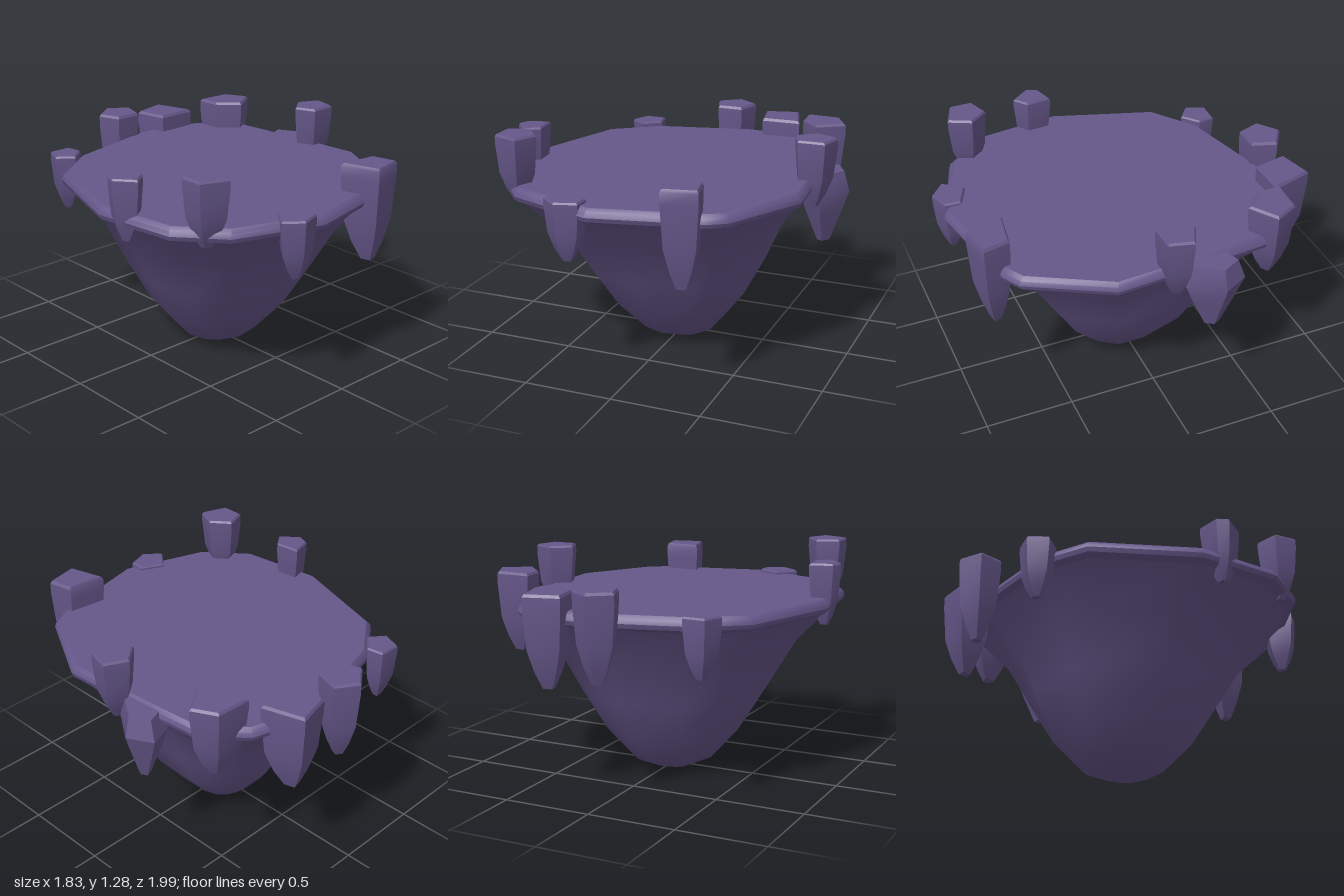
import * as THREE from 'three';
import { toCreasedNormals } from 'three/addons/utils/BufferGeometryUtils.js';

const rockMaterial = new THREE.MeshStandardMaterial({ color: 0x655689 });
rockMaterial.name = 'purple rock';

// Skins a stack of rings (bottom to top, equal point counts), closing both ends.
function loft(rings, crease) {
  const n = rings[0].length, pos = [];
  const tri = (...pts) => pts.forEach((p) => pos.push(...p));
  for (let j = 0; j < rings.length - 1; j++) {
    for (let i = 0; i < n; i++) {
      const k = (i + 1) % n, a = rings[j], b = rings[j + 1];
      tri(a[i], b[i], a[k]);
      tri(a[k], b[i], b[k]);
    }
  }
  const centre = (ring) => [0, 1, 2].map((c) => ring.reduce((s, p) => s + p[c], 0) / n);
  const low = rings[0], high = rings[rings.length - 1];
  for (let i = 0; i < n; i++) {
    const k = (i + 1) % n;
    tri(centre(low), low[i], low[k]);
    tri(centre(high), high[k], high[i]);
  }
  const geometry = new THREE.BufferGeometry();
  geometry.setAttribute('position', new THREE.Float32BufferAttribute(pos, 3));
  return toCreasedNormals(geometry, crease);
}

// Irregular outline of the island, as x, z
const outline = [
  [0.76, -0.24], [0.8, 0.34], [0.56, 0.78], [0.46, 0.84], [-0.14, 0.97],
  [-0.63, 0.8], [-0.83, 0.56], [-0.89, 0.08], [-0.7, -0.51], [-0.44, -0.7],
  [0.13, -0.84], [0.3, -0.83], [0.54, -0.76], [0.73, -0.55],
];

// Outline scaled to size s, blended towards a circle by round
function islandRing(y, s, round) {
  return outline.map(([x, z]) => {
    const r = Math.hypot(x, z), f = s * (1 + (0.87 / r - 1) * round);
    return [x * f, y, z * f];
  });
}

// Crystal profile: share of the height, share of the full width
const crystalProfile = [[0, 0.25], [0.18, 0.57], [0.42, 0.86], [0.85, 1], [0.97, 1], [1, 0.91]];
const leaningProfile = [[0, 0.25], [0.4, 0.68], [0.72, 1], [1, 0.75]];

// Each crystal: bottom y, top y, footprint corners as x, z
const crystals = [
  [0.66, 1.155, [[0, -1], [0.12, -0.92], [0.075, -0.78], [-0.075, -0.78], [-0.12, -0.91]]],
  [0.6, 1.115, [[0.19, -0.92], [0.39, -0.97], [0.46, -0.735], [0.23, -0.73]]],
  [0.735, 1.175, [[0.52, -0.71], [0.72, -0.7], [0.79, -0.565], [0.64, -0.465], [0.53, -0.58]]],
  [0.855, 1.235, [[0.76, -0.1], [0.885, -0.04], [0.85, 0.095], [0.7, 0.1], [0.655, -0.015]]],
  [0.62, 1.17, [[0.21, 0.75], [0.43, 0.78], [0.46, 0.925], [0.27, 0.965]]],
  [0.7, 1.035, [[-0.31, 0.8], [-0.18, 0.86], [-0.185, 0.95], [-0.305, 0.99], [-0.4, 0.91]]],
  [0.91, 1.28, [[-0.65, 0.555], [-0.565, 0.66], [-0.625, 0.785], [-0.775, 0.73], [-0.775, 0.6]]],
  [0.855, 1.205, [[-0.765, 0.125], [-0.75, 0.27], [-0.83, 0.33], [-0.915, 0.225], [-0.89, 0.16]]],
  [0.71, 1.04, [[-0.565, -0.8], [-0.44, -0.795], [-0.425, -0.7], [-0.52, -0.62], [-0.61, -0.69]]],
  [0.59, 1.0, [[0.84, -0.36], [0.915, -0.22], [0.79, -0.04], [0.66, -0.1], [0.7, -0.31]], leaningProfile],
];

function crystalGeometry([bottom, top, corners, profile = crystalProfile]) {
  const n = corners.length;
  const cx = corners.reduce((s, p) => s + p[0], 0) / n;
  const cz = corners.reduce((s, p) => s + p[1], 0) / n;
  const rings = profile.map(([t, s]) => corners.map(([x, z]) =>
    [cx + (x - cx) * s, bottom + (top - bottom) * t, cz + (z - cz) * s]));
  return loft(rings, 0.5);
}

export function createModel() {
  const model = new THREE.Group();
  model.name = 'floatingIsland';
  const add = (name, geometry) => {
    const mesh = new THREE.Mesh(geometry, rockMaterial);
    mesh.name = name;
    model.add(mesh);
  };

  // Smooth underside narrowing to a small flat foot
  add('rockUnderside', loft([
    islandRing(0, 0.13, 0.6), islandRing(0.05, 0.26, 0.55), islandRing(0.23, 0.44, 0.45),
    islandRing(0.46, 0.59, 0.35), islandRing(0.71, 0.735, 0.15), islandRing(0.935, 0.96, 0),
  ], 0.95));

  // Rounded rim with the flat ground on top
  add('rimAndGround', loft([
    islandRing(0.925, 0.95, 0), islandRing(0.945, 0.99, 0), islandRing(0.97, 1, 0),
    islandRing(0.995, 0.99, 0), islandRing(1.015, 0.965, 0),
  ], 0.6));

  // Crystals standing around the rim
  crystals.forEach((c, i) => add('crystal' + (i + 1), crystalGeometry(c)));
  return model;
}
